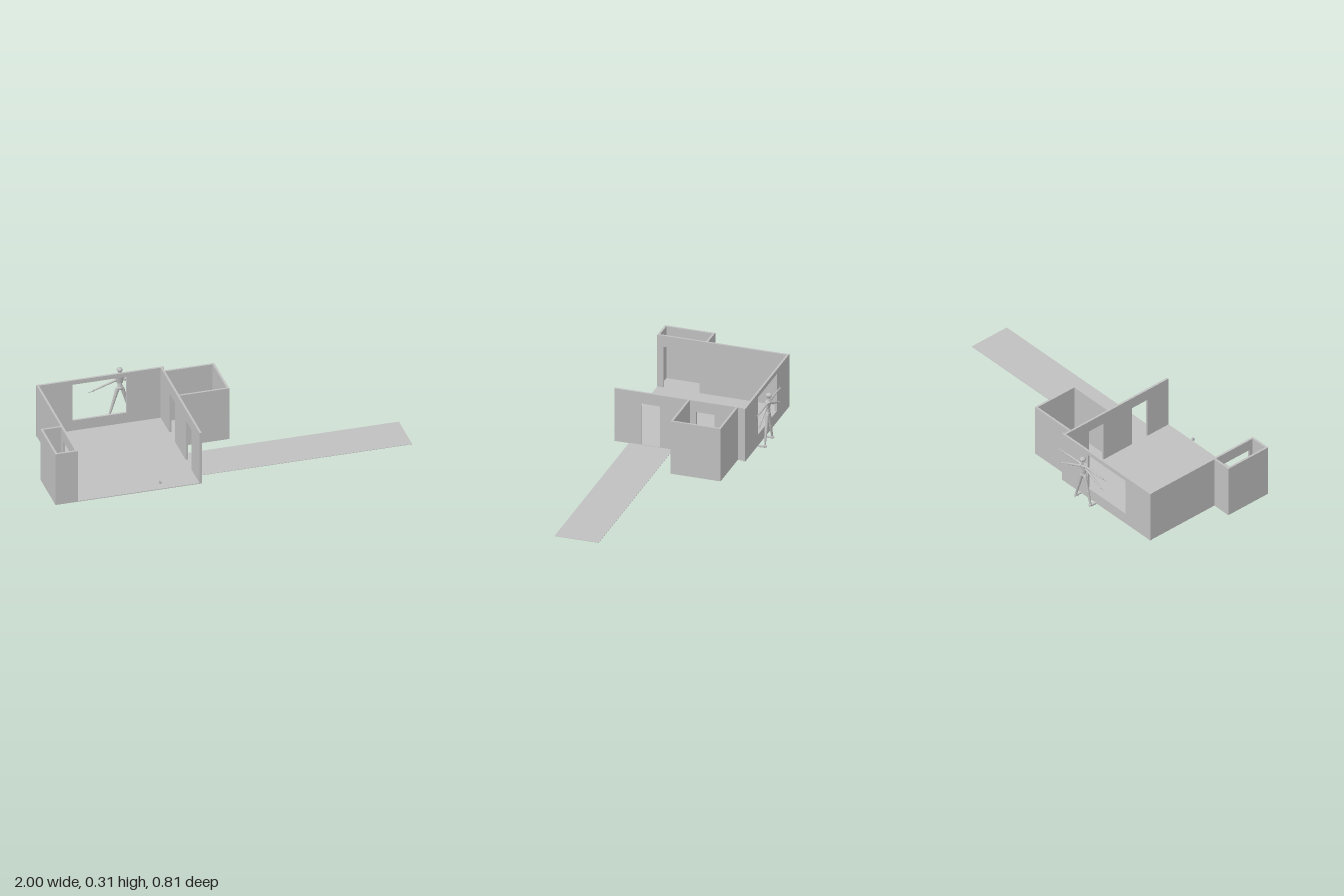
import * as THREE from 'three';

const grey = new THREE.MeshStandardMaterial({ color: 0xc0c0c0 });
grey.name = 'plain grey';
const WALL = 0.31, DOOR = 0.245, T = 0.012;

function add(parent, name, geometry) {
  const mesh = new THREE.Mesh(geometry, grey);
  mesh.name = name;
  parent.add(mesh);
  return mesh;
}

// Box given by its limits on each axis
function block(parent, name, x0, x1, y0, y1, z0, z1) {
  const m = add(parent, name, new THREE.BoxGeometry(x1 - x0, y1 - y0, z1 - z0));
  m.position.set((x0 + x1) / 2, (y0 + y1) / 2, (z0 + z1) / 2);
  return m;
}

// Upright panel from a to b with rectangular openings [a, b, bottom, top]
function panel(a, b, openings) {
  const rect = (C, l, r, lo, hi) => new C([[l, lo], [r, lo], [r, hi], [l, hi]].map(p => new THREE.Vector2(...p)));
  const shape = rect(THREE.Shape, a, b, 0, WALL);
  shape.holes = openings.map(o => rect(THREE.Path, ...o));
  return new THREE.ExtrudeGeometry(shape, { depth: T, bevelEnabled: false });
}

// Wall running along z, its +x face at xMax
function sideWall(parent, name, xMax, z0, z1, openings) {
  const g = panel(z0, z1, openings);
  g.rotateY(-Math.PI / 2);
  add(parent, name, g).position.x = xMax;
}

// Tapered limb segment between two points
function limb(parent, name, a, b, ra, rb, sides = 10) {
  const p = new THREE.Vector3(...a), q = new THREE.Vector3(...b);
  const d = q.clone().sub(p);
  const m = add(parent, name, new THREE.CylinderGeometry(rb, ra, d.length(), sides));
  m.position.copy(p).add(q).multiplyScalar(0.5);
  m.quaternion.setFromUnitVectors(new THREE.Vector3(0, 1, 0), d.normalize());
}

function ball(parent, name, p, rx, ry = rx, rz = rx) {
  const m = add(parent, name, new THREE.SphereGeometry(1, 14, 10));
  m.position.set(...p);
  m.scale.set(rx, ry, rz);
}

// Jointed figure with two pairs of spread arms, facing +z
function createFigure() {
  const f = new THREE.Group();
  f.name = 'figure';
  const lerp = (a, b, t) => a.map((v, i) => v + (b[i] - v) * t);

  // Head, neck and trunk
  ball(f, 'head', [0, 0.297, -0.003], 0.016, 0.013, 0.018);
  limb(f, 'jaw', [0, 0.292, -0.002], [0, 0.282, -0.001], 0.013, 0.009);
  limb(f, 'neck', [0, 0.26, -0.006], [0, 0.285, -0.006], 0.007, 0.006);
  const chest = add(f, 'chest', new THREE.CylinderGeometry(0.026, 0.016, 0.042, 12));
  chest.position.set(0, 0.239, 0.002);
  chest.scale.z = 0.6;
  ball(f, 'collar', [0, 0.258, -0.003], 0.024, 0.006, 0.012);
  limb(f, 'waist', [0, 0.222, 0], [0, 0.198, 0.004], 0.012, 0.013);
  ball(f, 'pelvis', [0, 0.19, 0.004], 0.021, 0.014, 0.015);

  for (const s of [-1, 1]) {
    // Raised and lowered arm
    const arms = [
      [[s * 0.025, 0.256, 0], [s * 0.165, 0.256, -0.002]],
      [[s * 0.024, 0.238, 0.002], [s * 0.15, 0.188, -0.006]],
    ];
    for (const [a, hand] of arms) {
      const elbow = lerp(a, hand, 0.48), wrist = lerp(a, hand, 0.88);
      ball(f, 'shoulder', a, 0.009);
      limb(f, 'upperArm', a, elbow, 0.007, 0.0055);
      ball(f, 'elbow', elbow, 0.0065);
      limb(f, 'forearm', elbow, wrist, 0.006, 0.004);
      limb(f, 'palm', wrist, hand, 0.004, 0.005, 6);
      for (const k of [-1, 0, 1]) {
        const tip = lerp(a, hand, 1.18);
        tip[1] += k * 0.004;
        tip[2] += k * 0.005;
        limb(f, 'finger', hand, tip, 0.0022, 0.001, 6);
      }
    }
    // Leg and foot
    const hip = [s * 0.014, 0.182, 0.002], knee = [s * 0.037, 0.102, 0], ankle = [s * 0.058, 0.028, 0];
    ball(f, 'hip', hip, 0.011);
    limb(f, 'thigh', hip, knee, 0.011, 0.008);
    ball(f, 'knee', knee, 0.009);
    limb(f, 'shin', knee, ankle, 0.0085, 0.0055);
    ball(f, 'heel', [ankle[0], 0.023, -0.002], 0.008, 0.008, 0.011);
    const foot = add(f, 'foot', new THREE.BoxGeometry(0.014, 0.008, 0.036));
    foot.position.set(ankle[0] + s * 0.002, 0.02, 0.018);
  }
  f.position.set(-0.41, 0, -0.385);
  return f;
}

export function createModel() {
  const model = new THREE.Group();
  model.name = 'floorPlanModel';

  // Floors and long path
  block(model, 'mainFloor', -0.888, -0.19, 0, 0.004, -0.334, 0.405);
  block(model, 'sideRoomFloor', -1, -0.888, 0, 0.004, 0.122, 0.405);
  block(model, 'backRoomFloor', -0.19, 0.085, 0, 0.004, -0.29, -0.008);
  block(model, 'path', -0.19, 1, 0, 0.002, 0.074, 0.322);

  // Main room, open at the front
  add(model, 'windowWall', panel(-0.89, -0.184, [[-0.69, -0.39, 0.065, 0.285]])).position.z = -0.334;
  sideWall(model, 'rightWall', -0.876, -0.322, 0.405, [[0.167, 0.37, 0.004, DOOR]]);
  sideWall(model, 'leftWall', -0.19, -0.322, 0.405, [[-0.16, -0.055, 0.004, DOOR], [0.147, 0.255, 0.004, DOOR]]);

  // Small side room
  sideWall(model, 'sideRoomOuterWall', -0.988, 0.122, 0.405, []);
  block(model, 'sideRoomBackWall', -0.988, -0.888, 0, WALL, 0.122, 0.134);
  block(model, 'sideRoomFrontWall', -0.988, -0.888, 0, WALL, 0.393, 0.405);

  // Square back room
  sideWall(model, 'backRoomOuterWall', 0.085, -0.29, -0.008, []);
  block(model, 'backRoomBackWall', -0.19, 0.073, 0, WALL, -0.29, -0.278);
  block(model, 'backRoomFrontWall', -0.19, 0.073, 0, WALL, -0.02, -0.008);

  // Small marker near the open front
  block(model, 'marker', -0.42, -0.41, 0.028, 0.044, 0.385, 0.395);

  model.add(createFigure());
  return model;
}
